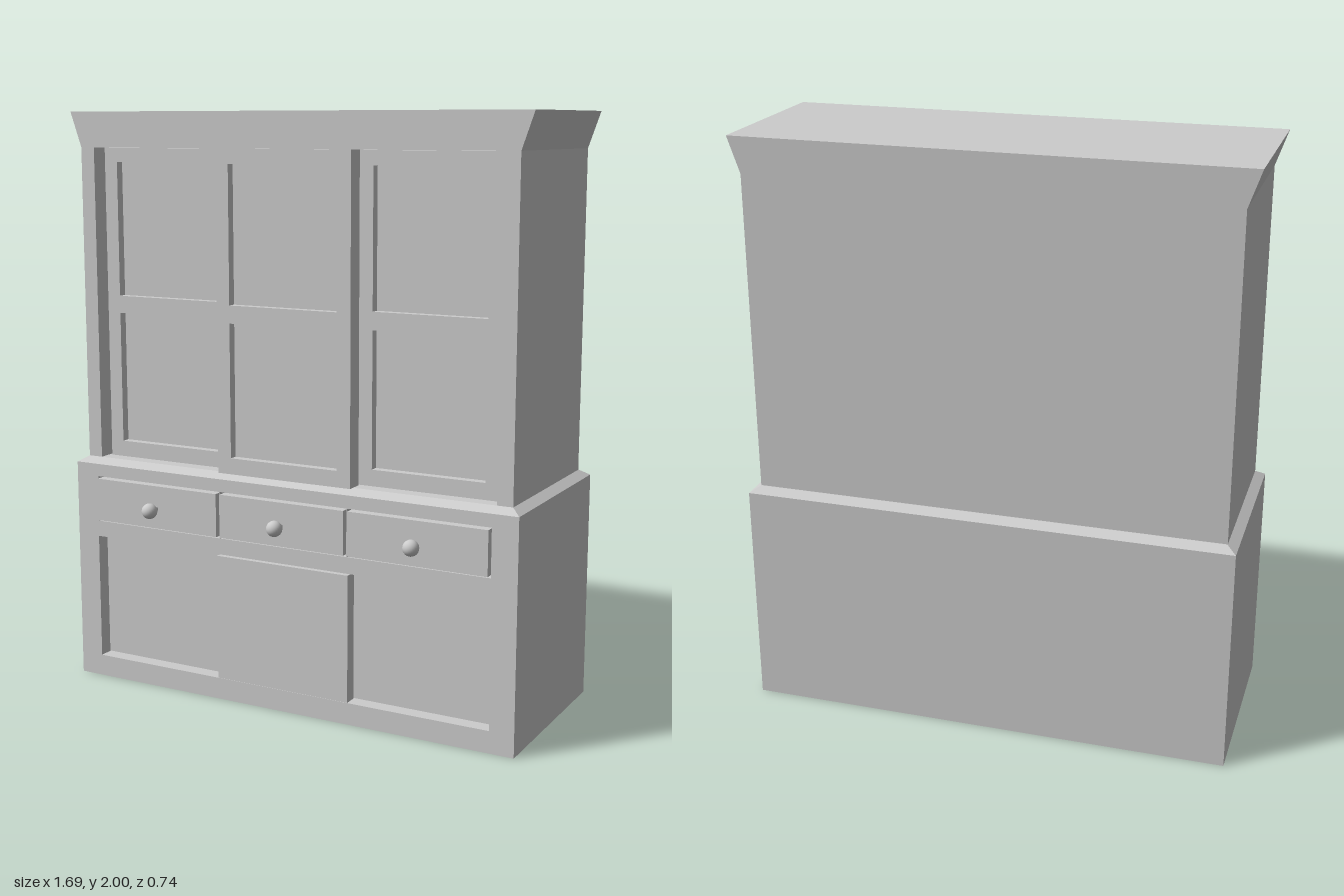
import * as THREE from 'three';

const material = new THREE.MeshStandardMaterial({ color: 0xcccccc });

function addMesh(parent, name, geometry, x = 0, y = 0, z = 0) {
  const mesh = new THREE.Mesh(geometry, material);
  mesh.name = name;
  mesh.position.set(x, y, z);
  parent.add(mesh);
  return mesh;
}

// Rectangle as a point list
function rect(x0, x1, y0, y1) {
  return [[x0, y0], [x1, y0], [x1, y1], [x0, y1]].map(([x, y]) => new THREE.Vector2(x, y));
}

// Flat outline with holes, extruded from zBack to zFront
function slab(points, holes, zBack, zFront) {
  const shape = new THREE.Shape(points);
  holes.forEach((h) => shape.holes.push(new THREE.Path(h)));
  const geometry = new THREE.ExtrudeGeometry(shape, { depth: zFront - zBack, bevelEnabled: false });
  return geometry.translate(0, 0, zBack);
}

// Glazed door: frame with two openings and a sunken pane behind them
function glazedDoor(name, x0, x1, y0, y1, zBack, zFront) {
  const door = new THREE.Group();
  door.name = name;
  const holes = [[0.855, 1.31], [1.37, 1.83]].map(([a, b]) => rect(x0 + 0.05, x1 - 0.05, a, b));
  addMesh(door, 'doorFrame', slab(rect(x0, x1, y0, y1), holes, zBack, zFront));
  addMesh(door, 'doorPane', slab(rect(x0 + 0.03, x1 - 0.03, y0 + 0.03, y1 - 0.03), [], zBack + 0.005, zFront - 0.03));
  return door;
}

export function createModel() {
  const model = new THREE.Group();
  model.name = 'cabinet';

  // Lower cabinet: solid carcass and a face frame with drawer and door openings
  const back = -0.37, front = 0.293, w = 0.835;
  const drawers = [[-0.74, -0.25], [-0.235, 0.235], [0.25, 0.74]];
  const openings = drawers.map(([a, b]) => rect(a - 0.006, b + 0.006, 0.574, 0.736));
  openings.push(rect(-0.75, 0.75, 0.075, 0.518));
  addMesh(model, 'lowerCarcass', slab(rect(-w, w, 0, 0.78), [], back, 0.2));
  addMesh(model, 'lowerFaceFrame', slab(rect(-w, w, 0, 0.78), openings, 0.2, front));

  // Countertop with sloping edges
  const ledge = new THREE.BoxGeometry(2 * w, 0.02, front - back);
  const p = ledge.attributes.position;
  for (let i = 0; i < p.count; i++) {
    if (p.getY(i) > 0) {
      p.setX(i, Math.sign(p.getX(i)) * 0.803);
      p.setZ(i, p.getZ(i) - Math.sign(p.getZ(i)) * 0.03);
    }
  }
  ledge.computeVertexNormals();
  addMesh(model, 'bevelledLedge', ledge, 0, 0.79, (front + back) / 2);

  // Drawers with round knobs
  drawers.forEach(([a, b]) => {
    const drawer = new THREE.Group();
    drawer.name = 'drawer';
    const x = (a + b) / 2;
    addMesh(drawer, 'drawerFront', slab(rect(a, b, 0.58, 0.73), [], 0.2, 0.305));
    const stem = new THREE.CylinderGeometry(0.01, 0.01, 0.05, 16).rotateX(Math.PI / 2);
    addMesh(drawer, 'knobStem', stem, x, 0.65, 0.322);
    addMesh(drawer, 'knob', new THREE.SphereGeometry(0.027, 24, 16), x, 0.65, 0.343);
    model.add(drawer);
  });

  // Lower sliding doors: side pair sunken, middle one in front
  for (const s of [-1, 1]) {
    addMesh(model, 'lowerSideDoor', new THREE.BoxGeometry(0.525, 0.435, 0.05), s * 0.4825, 0.2965, 0.225);
  }
  addMesh(model, 'lowerMiddleDoor', new THREE.BoxGeometry(0.5, 0.435, 0.045), 0, 0.2965, 0.278);

  // Upper cabinet: sides flare outward at the top, front frame open down to the ledge
  const crown = [[0.803, 1.88], [0.845, 2], [-0.845, 2], [-0.803, 1.88]];
  const toVectors = (list) => list.map(([x, y]) => new THREE.Vector2(x, y));
  const body = toVectors([[-0.803, 0.8], [0.803, 0.8], ...crown]);
  const frame = toVectors([
    [0.75, 0.8], [0.803, 0.8], ...crown, [-0.803, 0.8], [-0.75, 0.8], [-0.75, 1.88], [0.75, 1.88],
  ]);
  addMesh(model, 'upperCarcass', slab(body, [], -0.337, 0.165));
  addMesh(model, 'upperFaceFrame', slab(frame, [], 0.165, 0.263));

  // Upper sliding doors
  model.add(glazedDoor('upperLeftDoor', 0.243, 0.74, 0.8, 1.878, 0.165, 0.215));
  model.add(glazedDoor('upperRightDoor', -0.74, -0.243, 0.8, 1.878, 0.165, 0.215));
  model.add(glazedDoor('upperMiddleDoor', -0.25, 0.25, 0.8, 1.88, 0.225, 0.285));

  return model;
}
